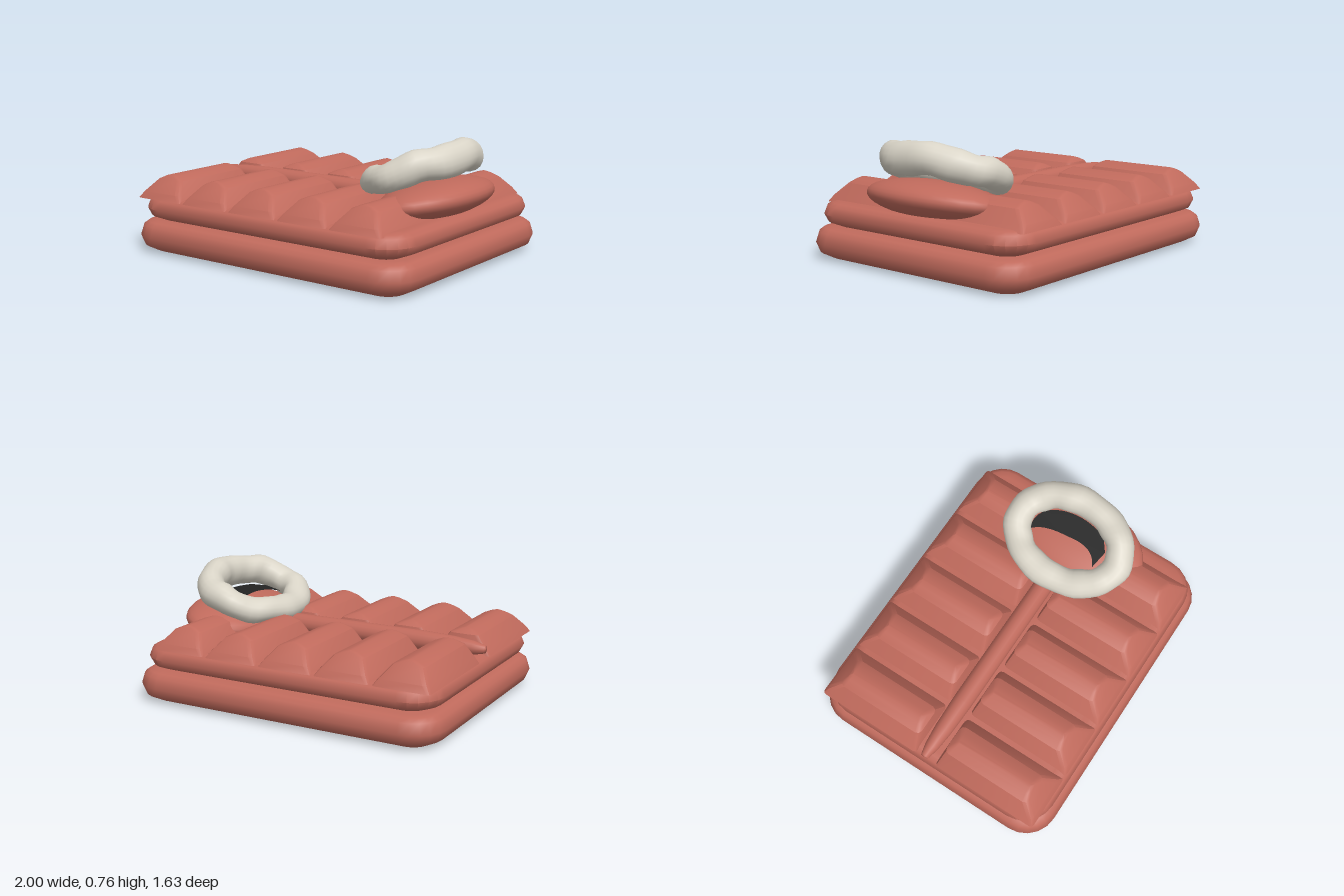
import * as THREE from 'three';
import { toCreasedNormals } from 'three/addons/utils/BufferGeometryUtils.js';

const red = new THREE.MeshStandardMaterial({ color: 0xc06a5c });
red.name = 'brick red';
const cream = new THREE.MeshStandardMaterial({ color: 0xd9d4c7 });
cream.name = 'cream';
const black = new THREE.MeshStandardMaterial({ color: 0x222222, side: THREE.DoubleSide });
black.name = 'black';

// Points of a rounded rectangle, half sizes hx and hz, corner radius r
function roundedRing({ x = 0, z = 0, hx, hz, r, y }, steps) {
  const points = [];
  for (let corner = 0; corner < 4; corner++) {
    const sx = corner === 0 || corner === 3 ? 1 : -1;
    const sz = corner < 2 ? 1 : -1;
    for (let k = 0; k <= steps; k++) {
      const a = (corner + k / steps) * Math.PI / 2;
      points.push([x + sx * (hx - r) + r * Math.cos(a), y, z + sz * (hz - r) + r * Math.sin(a)]);
    }
  }
  return points;
}

// Closed solid through stacked rounded rectangles, bottom to top
function loft(rings, steps, crease) {
  const loops = rings.map(ring => roundedRing(ring, steps));
  const n = loops[0].length;
  const position = loops.flat(2);
  const index = [];
  for (let i = 0; i < loops.length - 1; i++) {
    for (let j = 0; j < n; j++) {
      const a = i * n + j, b = i * n + (j + 1) % n;
      index.push(a, a + n, b, b, a + n, b + n);
    }
  }
  const top = (loops.length - 1) * n;
  for (let j = 1; j < n - 1; j++) {
    index.push(0, j, j + 1);
    index.push(top, top + j + 1, top + j);
  }
  const geometry = new THREE.BufferGeometry();
  geometry.setAttribute('position', new THREE.Float32BufferAttribute(position, 3));
  geometry.setIndex(index);
  return toCreasedNormals(geometry, crease);
}

export function createModel() {
  const model = new THREE.Group();
  const add = (name, geometry, material) => {
    const mesh = new THREE.Mesh(geometry, material);
    mesh.name = name;
    model.add(mesh);
    return mesh;
  };

  // Two stacked cushions with bulging sides: [inset, height]
  const bulge = [[0.1, 0], [0.025, 0.2], [0, 0.52], [0.02, 0.85], [0.05, 0.96], [0.09, 1]];
  const cushion = (name, x, hx, hz, y, height) => add(name, loft(bulge.map(([inset, t]) => ({
    x, hx: hx - inset, hz: hz - inset, r: 0.2 - inset, y: y + t * height,
  })), 5, 0.9), red);
  cushion('lowerCushion', 0, 1, 0.815, 0, 0.19);
  cushion('upperCushion', -0.005, 0.965, 0.78, 0.19, 0.15);

  // Two rows of five air chambers
  for (const side of [1, -1]) {
    for (let i = 0; i < 5; i++) {
      const x = -0.785 + i * 0.364;
      const ring = (hx, z0, z1, y, r) => ({ x, z: side * (z0 + z1) / 2, hx, hz: (z1 - z0) / 2, y, r });
      add('airChamber', loft([
        ring(0.175, 0.07, 0.755, 0.325, 0.02),
        ring(0.15, 0.075, 0.735, 0.365, 0.03),
        ring(0.095, 0.09, 0.665, 0.437, 0.03),
        ring(0.045, 0.115, 0.645, 0.459, 0.02),
        ring(0.012, 0.135, 0.63, 0.468, 0.01),
      ], 2, 0.5), red);
    }
  }

  // Central tube, tapering to the foot end
  const tubeProfile = [[0, 0], [0.024, 0.005], [0.042, 0.08], [0.054, 0.2], [0.061, 0.4], [0.061, 1.4], [0, 1.42]]
    .map(([radius, length]) => new THREE.Vector2(radius, length));
  const tube = add('centralTube', new THREE.LatheGeometry(tubeProfile, 16), red);
  tube.rotation.z = -Math.PI / 2;
  tube.position.set(-0.965, 0.388, 0);

  // Head pillow
  const pillow = add('headPillow', new THREE.SphereGeometry(1, 28, 18), red);
  pillow.scale.set(0.285, 0.115, 0.465);
  pillow.position.set(0.715, 0.405, 0);
  pillow.rotation.z = 0.17;

  // Slightly crumpled ring resting on the pillow
  const ringGeometry = new THREE.TorusGeometry(1, 0.3, 18, 48);
  const p = ringGeometry.attributes.position;
  for (let i = 0; i < p.count; i++) {
    const u = Math.atan2(p.getY(i), p.getX(i));
    const v = Math.atan2(p.getZ(i), Math.hypot(p.getX(i), p.getY(i)) - 1);
    const ripple = 1 + 0.035 * Math.sin(7 * u + 2 * v) + 0.03 * Math.sin(11 * u - v);
    const out = 0.088 * ripple * Math.cos(v);
    const lift = (0.085 + 0.013 * Math.cos(u)) * ripple * Math.sin(v);
    p.setXYZ(i, (0.247 + out) * Math.cos(u), lift + 0.008 * Math.sin(5 * u), -(0.343 + out) * Math.sin(u));
  }
  ringGeometry.computeVertexNormals();
  // Join the normals across the seams of the ring
  const normal = ringGeometry.attributes.normal;
  const sums = new Map();
  const key = i => [p.getX(i), p.getY(i), p.getZ(i)].map(c => Math.round(c * 1e4)).join();
  for (let i = 0; i < p.count; i++) {
    const sum = sums.get(key(i)) ?? new THREE.Vector3();
    sums.set(key(i), sum.add(new THREE.Vector3().fromBufferAttribute(normal, i)));
  }
  for (let i = 0; i < p.count; i++) {
    const joined = sums.get(key(i)).clone().normalize();
    normal.setXYZ(i, joined.x, joined.y, joined.z);
  }
  const ring = add('ring', ringGeometry, cream);
  ring.position.set(0.615, 0.57, 0);
  ring.rotation.z = 0.36;

  // Dark crescent inside the ring
  const crescent = new THREE.Shape();
  crescent.moveTo(-0.05, 0.25);
  crescent.quadraticCurveTo(0.1, 0.3, 0.16, 0.12);
  crescent.quadraticCurveTo(0.2, -0.02, 0.14, -0.17);
  crescent.lineTo(0.06, -0.23);
  crescent.lineTo(-0.06, -0.21);
  crescent.quadraticCurveTo(0.06, -0.16, 0.03, 0.02);
  crescent.quadraticCurveTo(0.02, 0.2, -0.05, 0.25);
  const crescentGeometry = new THREE.ShapeGeometry(crescent, 10);
  crescentGeometry.rotateX(-Math.PI / 2);
  const liner = add('ringLiner', crescentGeometry, black);
  liner.position.set(0.615, 0.53, 0);
  liner.rotation.z = 0.15;

  return model;
}
